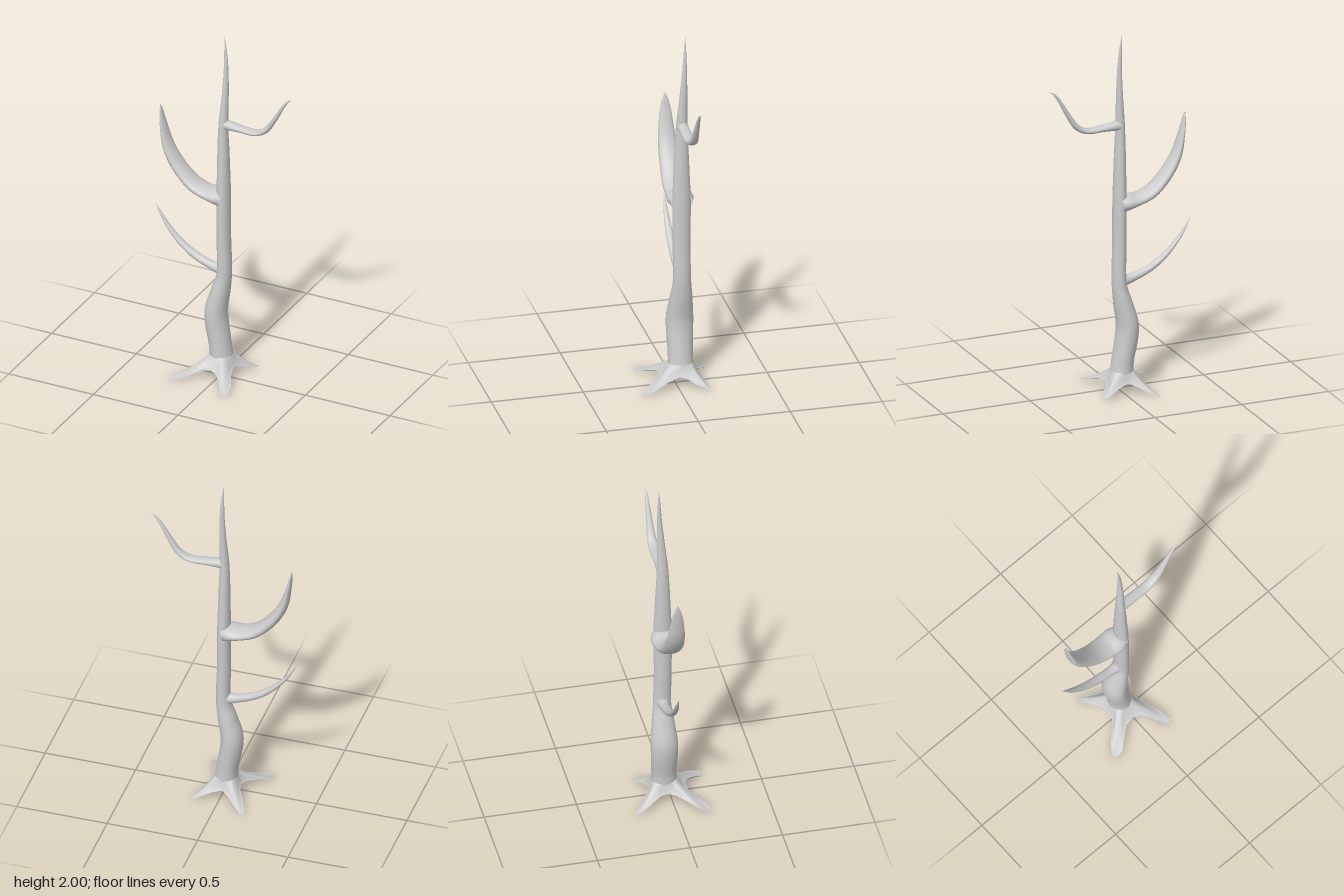
import * as THREE from 'three';

const material = new THREE.MeshStandardMaterial({ color: 0xcccccc, side: THREE.DoubleSide });

// Skin a list of closed rings (arrays of [x, y, z]) with smooth quads
function skin(name, rings) {
  const n = rings[0].length;
  const index = [];
  for (let i = 0; i < rings.length - 1; i++) {
    for (let j = 0; j < n; j++) {
      const k = (j + 1) % n;
      const a = i * n + j, b = i * n + k, c = a + n, d = b + n;
      index.push(a, b, d, a, d, c);
    }
  }
  const geometry = new THREE.BufferGeometry();
  geometry.setAttribute('position', new THREE.Float32BufferAttribute(rings.flat(2), 3));
  geometry.setIndex(index);
  geometry.computeVertexNormals();
  const mesh = new THREE.Mesh(geometry, material);
  mesh.name = name;
  return mesh;
}

// Tapering limb through stations [x, y, z, radius in the xy plane, radius along z]
function limb(name, stations, sides = 16, perSpan = 5) {
  const path = new THREE.CatmullRomCurve3(stations.map(s => new THREE.Vector3(s[0], s[1], s[2])));
  const radii = new THREE.CatmullRomCurve3(
    stations.map(s => new THREE.Vector3(s[3], s[4], 0)), false, 'catmullrom', 0.4);
  const steps = (stations.length - 1) * perSpan;
  const rings = [];
  for (let i = 0; i <= steps; i++) {
    const c = path.getPoint(i / steps), t = path.getTangent(i / steps), r = radii.getPoint(i / steps);
    const len = Math.hypot(t.x, t.y);
    const ring = [];
    for (let j = 0; j < sides; j++) {
      const a = (j / sides) * Math.PI * 2;
      const u = (Math.cos(a) * Math.max(r.x, 0.0005)) / len;
      ring.push([c.x - t.y * u, c.y + t.x * u, c.z + Math.sin(a) * Math.max(r.y, 0.0005)]);
    }
    rings.push(ring);
  }
  return skin(name, rings);
}

// Four spreading roots: star-shaped flare from the trunk foot, closed underneath
function roots() {
  const cx = -0.012, cz = -0.033;
  const outline = [
    // front left root
    [0.072, 0.06, -0.005], [0.09, 0.045, 0.06], [0.13, 0.02, 0.14], [0.135, 0.005, 0.2],
    [0.13, 0, 0.21], [0.115, 0, 0.21], [0.09, 0.005, 0.2], [0.06, 0.03, 0.15], [0.025, 0.05, 0.1],
    // front right root
    [-0.02, 0.06, 0.082], [-0.07, 0.05, 0.09], [-0.12, 0.03, 0.13], [-0.17, 0.01, 0.174],
    [-0.2, 0, 0.178], [-0.225, 0, 0.174], [-0.225, 0.005, 0.155], [-0.205, 0.015, 0.12],
    [-0.15, 0.035, 0.065], [-0.105, 0.05, 0.015],
    // back right root
    [-0.095, 0.06, -0.03], [-0.1, 0.055, -0.07], [-0.13, 0.035, -0.12], [-0.155, 0.01, -0.175],
    [-0.162, 0, -0.212], [-0.145, 0, -0.21], [-0.115, 0.01, -0.19], [-0.05, 0.045, -0.135],
    // back left root
    [-0.015, 0.06, -0.115], [0.04, 0.045, -0.13], [0.1, 0.02, -0.155], [0.12, 0.012, -0.16],
    [0.145, 0.01, -0.16], [0.145, 0.01, -0.145], [0.115, 0.025, -0.09], [0.08, 0.05, -0.045],
  ];
  const top = [], under = [];
  for (let i = 0; i <= 8; i++) {
    const t = i / 8;
    top.push(outline.map(([x, y, z]) => {
      const a = Math.atan2(z - cz, x - cx);
      const ix = cx + 0.06 * Math.cos(a), iz = cz + 0.066 * Math.sin(a);
      return [ix + (x - ix) * t, y + (0.115 - y) * (1 - t) ** 1.4, iz + (z - iz) * t];
    }));
  }
  for (let i = 0; i <= 4; i++) {
    const t = i / 4;
    under.push(outline.map(([x, y, z]) => [x + (cx - x) * t, y + (0.062 - y) * t, z + (cz - z) * t]));
  }
  const group = new THREE.Group();
  group.name = 'roots';
  group.add(skin('rootFlare', top), skin('rootUnderside', under));
  return group;
}

export function createModel() {
  const tree = new THREE.Group();
  tree.name = 'bareTree';

  tree.add(roots());

  tree.add(limb('trunk', [
    [-0.012, 0.095, -0.033, 0.062, 0.068],
    [-0.02, 0.17, -0.033, 0.058, 0.068],
    [-0.045, 0.35, -0.035, 0.06, 0.074],
    [-0.02, 0.48, -0.037, 0.051, 0.062],
    [0.002, 0.59, -0.037, 0.039, 0.049],
    [0.001, 0.8, -0.034, 0.036, 0.048],
    [0, 1.05, -0.035, 0.035, 0.05],
    [-0.002, 1.28, -0.035, 0.031, 0.041],
    [-0.003, 1.48, -0.036, 0.025, 0.031],
    [0.004, 1.66, -0.044, 0.018, 0.021],
    [0.006, 1.8, -0.05, 0.013, 0.013],
    [0.002, 1.91, -0.053, 0.008, 0.007],
    [-0.005, 2, -0.056, 0.0005, 0.0005],
  ], 20));

  tree.add(limb('lowerBranch', [
    [0, 0.61, -0.038, 0.034, 0.036],
    [-0.04, 0.616, -0.038, 0.028, 0.03],
    [-0.08, 0.625, -0.038, 0.023, 0.026],
    [-0.17, 0.66, -0.038, 0.02, 0.024],
    [-0.25, 0.713, -0.038, 0.016, 0.021],
    [-0.33, 0.795, -0.039, 0.01, 0.016],
    [-0.375, 0.86, -0.04, 0.006, 0.009],
    [-0.405, 0.91, -0.04, 0.0005, 0.0005],
  ]));

  tree.add(limb('middleBranch', [
    [0, 1.045, -0.037, 0.05, 0.06],
    [-0.04, 1.053, -0.037, 0.042, 0.073],
    [-0.1, 1.06, -0.037, 0.03, 0.069],
    [-0.18, 1.092, -0.037, 0.031, 0.064],
    [-0.265, 1.175, -0.036, 0.031, 0.056],
    [-0.325, 1.275, -0.036, 0.026, 0.048],
    [-0.358, 1.4, -0.037, 0.014, 0.034],
    [-0.37, 1.47, -0.038, 0.007, 0.02],
    [-0.376, 1.517, -0.038, 0.0005, 0.0005],
  ]));

  tree.add(limb('upperBranch', [
    [0, 1.488, -0.038, 0.03, 0.03],
    [0.03, 1.487, -0.038, 0.025, 0.03],
    [0.1, 1.483, -0.038, 0.018, 0.029],
    [0.19, 1.482, -0.038, 0.015, 0.028],
    [0.245, 1.51, -0.039, 0.016, 0.024],
    [0.3, 1.59, -0.039, 0.013, 0.017],
    [0.35, 1.678, -0.039, 0.009, 0.01],
    [0.38, 1.716, -0.039, 0.005, 0.005],
    [0.403, 1.729, -0.039, 0.0005, 0.0005],
  ]));

  return tree;
}
